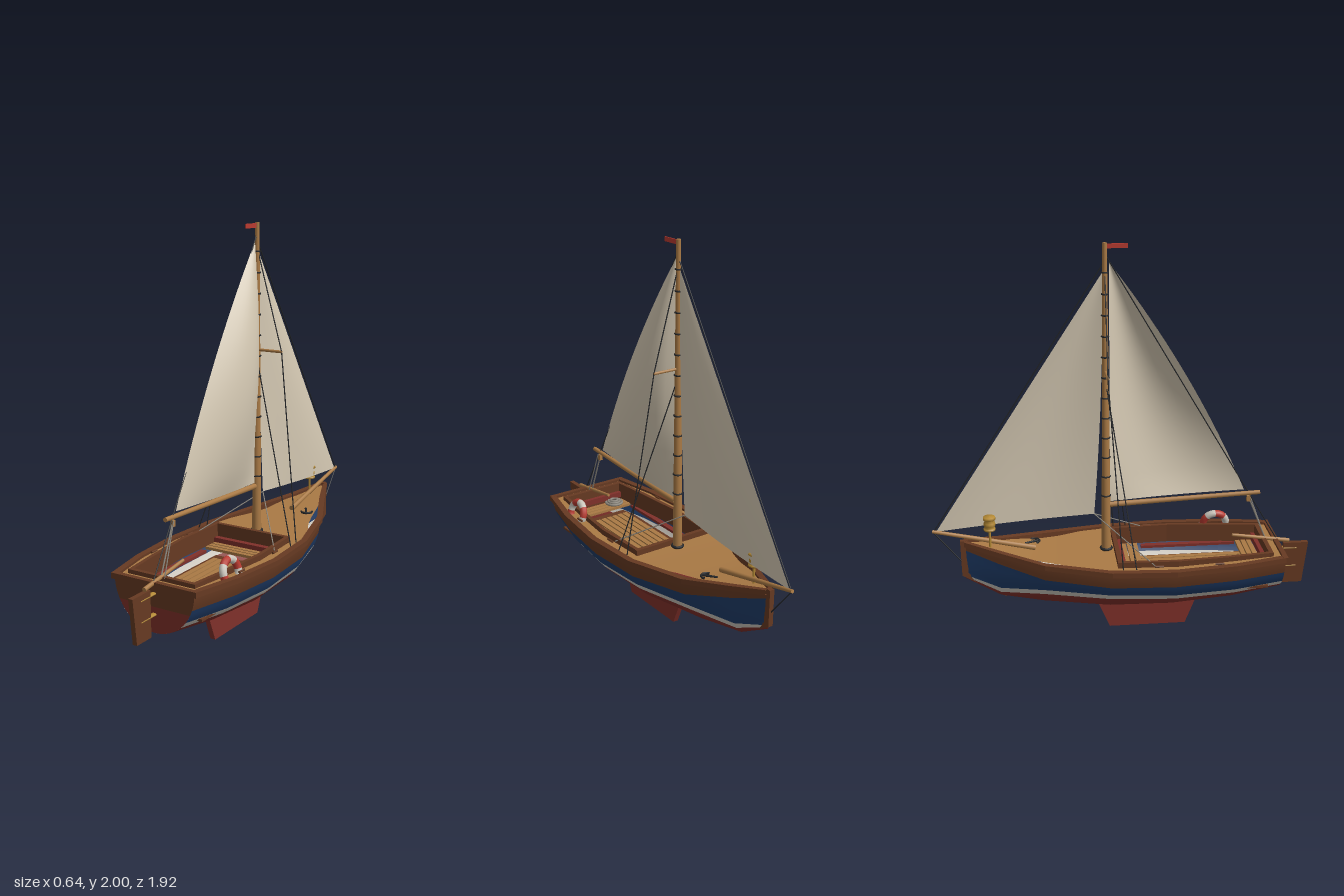
import * as THREE from 'three';

const paint = (name, color) => {
  const m = new THREE.MeshStandardMaterial({ color, side: THREE.DoubleSide });
  m.name = name;
  return m;
};
const V = (x, y, z) => new THREE.Vector3(x, y, z);

// Hull stations, stern to bow: z, half beam, sheer, keel, lower edges of the brown, blue and white bands
const STATIONS = [
  [0.79, 0.22, 0.445, 0.215, 0.365, 0.30, 0.27],
  [0.535, 0.275, 0.44, 0.18, 0.36, 0.295, 0.265],
  [0.23, 0.303, 0.435, 0.16, 0.355, 0.295, 0.265],
  [-0.085, 0.282, 0.435, 0.16, 0.355, 0.305, 0.275],
  [-0.41, 0.195, 0.45, 0.185, 0.375, 0.31, 0.28],
  [-0.63, 0.09, 0.48, 0.215, 0.425, 0.28, 0.25],
  [-0.805, 0.01, 0.51, 0.315, 0.475, 0.335, 0.325],
];
const station = (z) => {
  let i = 0;
  while (i < STATIONS.length - 2 && z < STATIONS[i + 1][0]) i++;
  const a = STATIONS[i], b = STATIONS[i + 1], t = (z - a[0]) / (b[0] - a[0]);
  return a.map((v, k) => v + (b[k] - v) * t);
};

// Skin over rows of points; closed joins the ends of each row, flat gives hard edges
function loft(rows, { closed = false, flat = false } = {}) {
  const n = rows[0].length, index = [];
  for (let i = 0; i < rows.length - 1; i++) {
    for (let j = 0; j < (closed ? n : n - 1); j++) {
      const a = i * n + j, b = i * n + ((j + 1) % n);
      index.push(a, b, a + n, b, b + n, a + n);
    }
  }
  let g = new THREE.BufferGeometry().setFromPoints(rows.flat());
  g.setIndex(index);
  if (flat) g = g.toNonIndexed();
  g.computeVertexNormals();
  return g;
}

export function createModel() {
  const root = new THREE.Group();
  root.name = 'sailingBoat';
  const wood = paint('honey wood', 0xaa7a45), dark = paint('dark wood', 0x673a22);
  const blue = paint('navy paint', 0x1f3c68), white = paint('white paint', 0xcbc6bc);
  const red = paint('bottom red', 0x80302a), signal = paint('signal red', 0xb83a30);
  const cloth = paint('sailcloth', 0xd6cab4), rope = paint('black rigging', 0x25272a);
  const line = paint('grey rope', 0x8f8a80), brass = paint('brass', 0xb58a35);

  const add = (name, geo, mat, parent = root) => {
    const m = new THREE.Mesh(geo, mat);
    m.name = name;
    parent.add(m);
    return m;
  };
  const box = (name, w, h, d, x, y, z, mat) => add(name, new THREE.BoxGeometry(w, h, d), mat).position.set(x, y, z);
  const rod = (name, a, b, r0, r1, mat, sides = 10) => {
    const m = add(name, new THREE.CylinderGeometry(r1, r0, a.distanceTo(b), sides), mat);
    m.position.copy(a).lerp(b, 0.5);
    m.quaternion.setFromUnitVectors(V(0, 1, 0), b.clone().sub(a).normalize());
    return m;
  };
  const stay = (name, pts, mat = rope, r = 0.003) => {
    for (let i = 1; i < pts.length; i++) rod(name, pts[i - 1], pts[i], r, r, mat, 5);
  };
  // Upright plate on the centreline from [z, y] points
  const plate = (name, pts, t, mat) => {
    const g = new THREE.ExtrudeGeometry(new THREE.Shape(pts.map((p) => new THREE.Vector2(...p))), { depth: t, bevelEnabled: false });
    g.translate(0, 0, -t / 2).rotateY(-Math.PI / 2);
    return add(name, g, mat);
  };

  // Hull bands
  const angle = (s, y) => Math.asin(Math.min(1, (s[2] - y) / (s[2] - s[3])));
  const arc = (s, a0, a1, n) => Array.from({ length: n + 1 }, (_, i) => {
    const a = a0 + ((a1 - a0) * i) / n;
    return V(s[1] * Math.cos(a), s[2] - (s[2] - s[3]) * Math.sin(a), s[0]);
  });
  [['topStrake', 2, 4, dark], ['blueBand', 4, 5, blue], ['whiteBand', 5, 6, white]].forEach(([name, p, q, mat]) => {
    for (const side of [1, -1]) {
      add(name, loft(STATIONS.map((s) => arc(s, angle(s, s[p]), angle(s, s[q]), 4).map((v) => V(v.x * side, v.y, v.z)))), mat);
    }
  });
  add('hullBottom', loft(STATIONS.map((s) => arc(s, angle(s, s[6]), Math.PI - angle(s, s[6]), 18))), red);

  // Transom, stem and keel
  const s0 = STATIONS[0], split = angle(s0, 0.34);
  const transom = (a0, a1) => loft(arc(s0, a0, a1, 8).map((v) => [v, V(-v.x, v.y, v.z)]));
  add('transomTop', transom(0, split), dark);
  add('transomBottom', transom(split, Math.PI / 2), red);
  plate('stem', [[-0.795, 0.525], [-0.825, 0.525], [-0.822, 0.335], [-0.605, 0.208], [-0.6, 0.235], [-0.79, 0.345]], 0.026, dark);
  plate('keel', [[0.385, 0.17], [0.32, 0.005], [-0.075, 0.005], [-0.145, 0.17]], 0.028, red);

  // Gunwale rails
  for (const side of [1, -1]) {
    add('gunwale', loft(STATIONS.map(([z, b, y]) => {
      const o = b + 0.015, i = Math.max(b - 0.018, 0);
      return [V(o * side, y - 0.012, z), V(o * side, y + 0.014, z), V(i * side, y + 0.014, z), V(i * side, y - 0.012, z)];
    }), { closed: true, flat: true }), dark);
  }
  box('sternRail', 0.47, 0.028, 0.025, 0, 0.446, 0.787, dark);

  // Decks; the foredeck is narrower than the hull near the bow
  const deckY = (z) => station(z)[2] + 0.002;
  const fore = [[-0.04, 0.28], [-0.12, 0.268], [-0.22, 0.225], [-0.32, 0.175], [-0.42, 0.14], [-0.52, 0.115], [-0.63, 0.085], [-0.8, 0.01]];
  add('foredeck', loft(fore.map(([z, w]) => [V(-w, deckY(z), z), V(w, deckY(z), z)])), wood);
  const well = [[-0.04, 0.218], [0.25, 0.232], [0.535, 0.208], [0.725, 0.185]];
  for (const side of [1, -1]) {
    add('sideDeck', loft(well.map(([z, w]) => [V(side * w, deckY(z), z), V(side * station(z)[1], deckY(z), z)])), wood);
    add('coaming', loft(well.map(([z, w]) =>
      [V(side * w, 0.37, z), V(side * w, 0.466, z), V(side * (w - 0.02), 0.466, z), V(side * (w - 0.02), 0.37, z)]), { closed: true, flat: true }), dark);
  }
  add('aftDeck', loft([0.72, 0.785].map((z) => [V(-station(z)[1], deckY(z), z), V(station(z)[1], deckY(z), z)])), wood);
  box('frontCoaming', 0.44, 0.096, 0.022, 0, 0.418, -0.04, dark);
  box('rearCoaming', 0.372, 0.096, 0.022, 0, 0.418, 0.725, dark);

  // Cockpit floor, slats and thwarts
  box('cockpitFloor', 0.41, 0.012, 0.73, 0, 0.29, 0.345, dark);
  for (let i = 0; i < 10; i++) box('floorSlat', 0.028, 0.014, 0.6, -0.158 + i * 0.0351, 0.303, 0.35, wood);
  box('frontLocker', 0.4, 0.06, 0.03, 0, 0.37, -0.012, red);
  for (let i = 0; i < 3; i++) {
    box('frontThwartSlat', 0.39, 0.014, 0.024, 0, 0.37, 0.017 + i * 0.03, wood);
    box('rearThwartSlat', 0.35, 0.014, 0.024, 0, 0.37, 0.625 + i * 0.03, wood);
  }
  box('rearLocker', 0.33, 0.03, 0.025, 0, 0.405, 0.705, red);
  for (const side of [1, -1]) {
    box('sideBench', 0.03, 0.014, 0.5, side * 0.19, 0.36, 0.36, red);
    for (const z of [0.15, 0.45]) rod('cleat', V(side * 0.25, 0.452, z - 0.022), V(side * 0.25, 0.452, z + 0.022), 0.006, 0.006, dark, 6);
  }
  [0.045, 0.032, 0.02].forEach((r, i) => {
    const coil = add('ropeCoil', new THREE.TorusGeometry(r, 0.007, 6, 20), line);
    coil.rotation.x = Math.PI / 2;
    coil.position.set(-0.1, 0.385 + i * 0.006, 0.665);
  });

  // Rudder and tiller
  plate('rudder', [[0.83, 0.435], [0.96, 0.435], [0.935, 0.21], [0.83, 0.21]], 0.024, dark);
  for (const y of [0.305, 0.405]) rod('rudderHinge', V(0, y, 0.79), V(0, y, 0.9), 0.007, 0.007, brass).scale.x = 2;
  rod('tiller', V(0, 0.445, 0.86), V(0, 0.49, 0.56), 0.011, 0.008, wood);

  // Mast, hoops and spars
  const mz = -0.09;
  rod('mast', V(0, 0.43, mz), V(0, 2, mz), 0.024, 0.011, wood, 14);
  const ring = (name, y, r, t) => {
    const m = add(name, new THREE.TorusGeometry(r, t, 6, 16), rope);
    m.rotation.x = Math.PI / 2;
    m.position.set(0, y, mz);
  };
  ring('mastCollar', 0.45, 0.027, 0.007);
  for (let i = 0; i < 12; i++) ring('mastHoop', 0.74 + i * 0.102, 0.0225 - i * 0.0007, 0.004);
  rod('boom', V(0, 0.688, mz + 0.02), V(0, 0.722, 0.695), 0.014, 0.011, wood);
  rod('bowsprit', V(0, 0.468, -0.45), V(0, 0.58, -0.96), 0.014, 0.009, wood);
  rod('spreader', V(-0.14, 1.383, mz), V(0.14, 1.383, mz), 0.007, 0.007, wood, 8);

  // Sails: u runs across, v runs up
  const sail = (name, fn) => {
    const rows = [];
    for (let i = 0; i <= 20; i++) rows.push(Array.from({ length: 13 }, (_, j) => fn(j / 12, i / 20)));
    add(name, loft(rows), cloth);
  };
  sail('mainsail', (u, v) => {
    const luff = V(0, 0.705 + 1.2 * v, -0.07), round = 0.17 * v * (1 - v);
    const leech = V(0, 0.74 + 1.17 * v + round * 0.5, 0.612 - 0.682 * v + round * 0.86);
    const p = luff.lerp(leech, u);
    p.x = 0.088 * Math.sin(Math.PI * u ** 0.8) * Math.sin(Math.PI * v ** 0.85) + 0.012 * Math.sin(Math.PI * u) * (1 - v);
    return p;
  });
  sail('jib', (u, v) => {
    const luff = V(0, 0.578, -0.94).lerp(V(0, 1.865, -0.1), v);
    const leech = V(0, 0.64, -0.15).lerp(V(0, 1.865, -0.1), v);
    leech.z += 0.05 * v * (1 - v);
    const p = luff.lerp(leech, u);
    p.x = 0.03 * Math.sin(Math.PI * u) * Math.sin(Math.PI * (0.15 + 0.85 * v));
    return p;
  });

  // Standing and running rigging
  stay('forestay', [V(0, 1.9, mz - 0.01), V(0, 0.578, -0.952)]);
  stay('bobstay', [V(0, 0.572, -0.952), V(0, 0.41, -0.822)]);
  stay('backstay', [V(0, 1.95, mz), V(0, 0.455, 0.795)]);
  for (const side of [1, -1]) {
    stay('upperShroud', [V(0, 1.88, mz), V(side * 0.14, 1.383, mz), V(side * 0.265, 0.45, -0.03)]);
    stay('lowerShroud', [V(0, 1.34, mz), V(side * 0.272, 0.45, 0.035)]);
    stay('jibSheet', [V(0, 0.64, -0.15), V(side * 0.235, 0.45, 0.13)], line);
  }
  stay('mainsheet', [V(0, 0.705, 0.635), V(0, 0.46, 0.735)], line, 0.004);
  stay('mainsheet', [V(0.01, 0.705, 0.645), V(0.02, 0.46, 0.735)], line, 0.003);
  box('sheetBlock', 0.018, 0.03, 0.018, 0, 0.69, 0.637, wood);

  // Pennant
  box('pennant', 0.006, 0.022, 0.1, 0, 1.985, -0.032, signal);

  // Bow lantern
  const lamp = new THREE.LatheGeometry([[0, 0], [0.03, 0], [0.03, 0.01], [0.02, 0.012], [0.029, 0.025], [0.029, 0.04], [0.02, 0.055], [0.032, 0.058], [0.03, 0.072], [0, 0.075]]
    .map((p) => new THREE.Vector2(...p)), 12);
  add('lantern', lamp, brass).position.set(-0.015, 0.582, -0.675);
  rod('lanternPost', V(-0.015, 0.47, -0.675), V(-0.015, 0.59, -0.675), 0.006, 0.006, brass, 8);

  // Small anchor on the foredeck
  rod('anchorShank', V(0.06, 0.465, -0.5), V(0.1, 0.462, -0.43), 0.006, 0.006, rope, 6);
  const fluke = add('anchorFluke', new THREE.TorusGeometry(0.028, 0.006, 6, 10, Math.PI), rope);
  fluke.rotation.set(Math.PI / 2, 0, -0.5);
  fluke.position.set(0.09, 0.464, -0.455);

  // Lifebuoy leaning on the side deck
  const buoy = new THREE.Group();
  buoy.name = 'lifebuoy';
  for (let i = 0; i < 8; i++) {
    add('buoySegment', new THREE.TorusGeometry(0.06, 0.019, 10, 6, Math.PI / 4), i % 2 ? white : signal, buoy).rotation.z = (i * Math.PI) / 4;
  }
  buoy.rotation.set(0, Math.PI / 2, 0.3, 'ZYX');
  buoy.position.set(0.23, 0.462, 0.51);
  root.add(buoy);

  return root;
}
